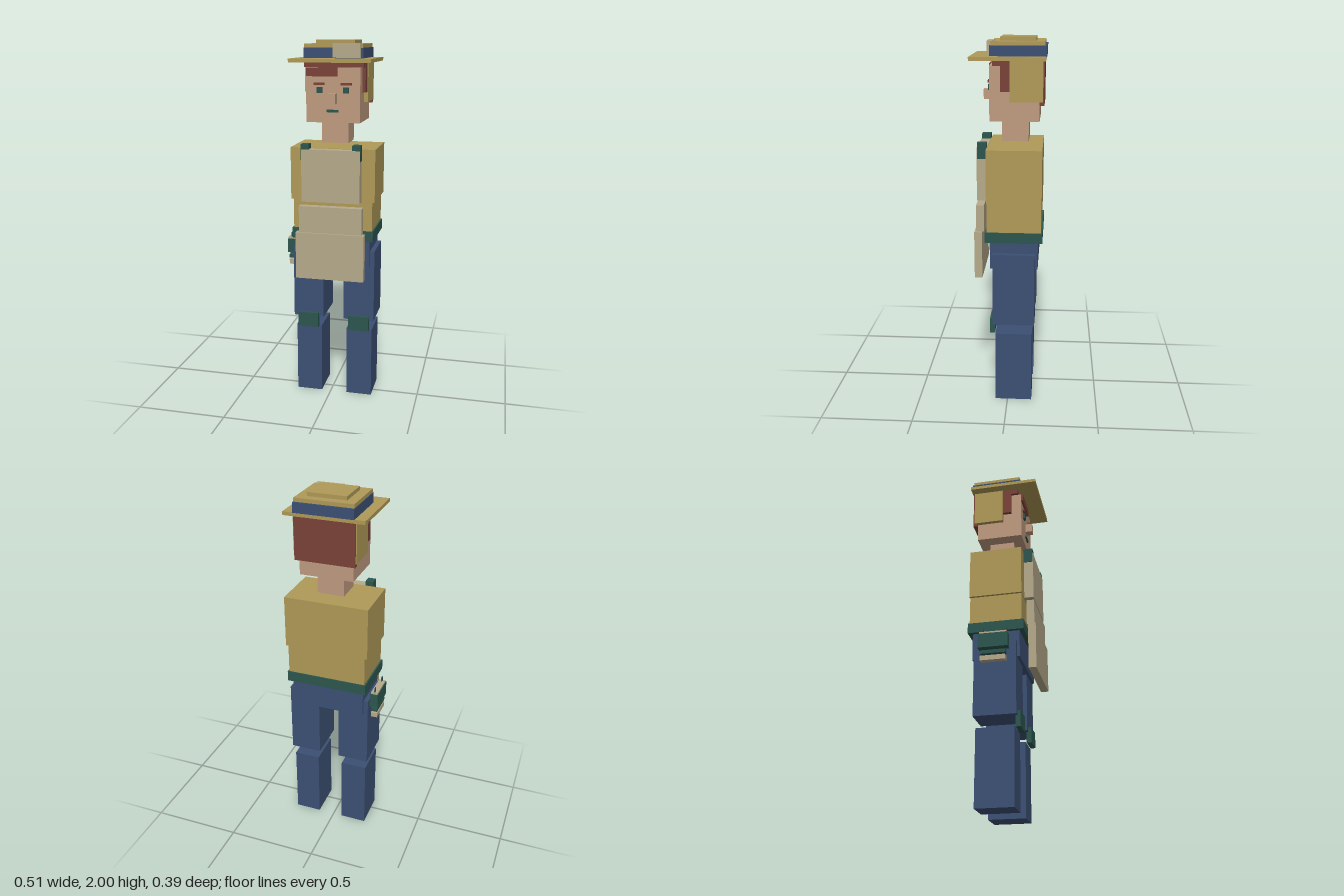
import * as THREE from 'three';

const mat = (name, color) => {
  const m = new THREE.MeshStandardMaterial({ color });
  m.name = name;
  return m;
};

export function createModel() {
  const gold = mat('gold cloth', 0xb09a58);
  const beige = mat('beige canvas', 0xb6aa8b);
  const navy = mat('navy cloth', 0x3c5074);
  const teal = mat('dark teal', 0x2c564e);
  const skin = mat('skin', 0xbf9b80);
  const red = mat('red brown hair', 0x7a4238);

  const model = new THREE.Group();
  model.name = 'figure';
  const MID = 0.02; // the body's own centre line

  // Box given by its extents on each axis
  const box = (parent, name, material, [x0, x1], [y0, y1], [z0, z1]) => {
    const mesh = new THREE.Mesh(new THREE.BoxGeometry(x1 - x0, y1 - y0, z1 - z0), material);
    mesh.position.set((x0 + x1) / 2, (y0 + y1) / 2, (z0 + z1) / 2);
    mesh.name = name;
    parent.add(mesh);
  };
  // Mirrored pair about the centre line; a and b are distances from it
  const pair = (parent, name, material, [a, b], y, z) => {
    box(parent, name + 'Left', material, [MID + a, MID + b], y, z);
    box(parent, name + 'Right', material, [MID - b, MID - a], y, z);
  };
  const group = (name) => {
    const g = new THREE.Group();
    g.name = name;
    model.add(g);
    return g;
  };

  // Legs
  const legs = group('legs');
  pair(legs, 'shin', navy, [0.073, 0.218], [0, 0.405], [-0.135, 0.067]);
  pair(legs, 'thigh', navy, [0.058, 0.23], [0.465, 0.873], [-0.148, 0.08]);
  pair(legs, 'kneePad', teal, [0.087, 0.203], [0.405, 0.49], [0.07, 0.097]);
  box(legs, 'pelvis', navy, [-0.185, 0.225], [0.787, 0.94], [-0.163, 0.095]);

  // Torso
  const torso = group('torso');
  box(torso, 'belt', teal, [-0.205, 0.246], [0.938, 0.995], [-0.187, 0.12]);
  box(torso, 'waist', gold, [-0.197, 0.239], [0.995, 1.155], [-0.179, 0.109]);
  box(torso, 'chest', gold, [-0.211, 0.252], [1.155, 1.44], [-0.181, 0.111]);

  // Apron
  const apron = group('apron');
  box(apron, 'apronSkirt', beige, [-0.17, 0.207], [0.725, 0.985], [0.138, 0.18]);
  box(apron, 'apronWaist', beige, [-0.153, 0.193], [0.985, 1.13], [0.128, 0.17]);
  box(apron, 'apronBib', beige, [-0.138, 0.18], [1.155, 1.438], [0.113, 0.165]);
  pair(apron, 'apronStrap', teal, [0.118, 0.161], [1.38, 1.465], [0.112, 0.162]);

  // Tool pouch on the right hip
  const pouch = group('toolPouch');
  box(pouch, 'pouchBody', teal, [-0.255, -0.211], [0.825, 0.905], [-0.118, 0.043]);
  box(pouch, 'pouchLid', beige, [-0.252, -0.215], [0.905, 0.915], [-0.112, 0.037]);
  box(pouch, 'pouchStrip', teal, [-0.25, -0.217], [0.79, 0.81], [-0.105, 0.03]);
  box(pouch, 'pouchBase', beige, [-0.25, -0.215], [0.753, 0.78], [-0.105, 0.03]);
  for (const z of [-0.099, 0.024])
    box(pouch, 'pouchPin', teal, [-0.237, -0.232], [0.915, 0.94], [z - 0.009, z + 0.009]);

  // Head and face
  const head = group('head');
  box(head, 'neck', skin, [-0.055, 0.092], [1.46, 1.575], [-0.105, 0.037]);
  box(head, 'skull', skin, [-0.125, 0.165], [1.575, 1.86], [-0.163, 0.097]);
  box(head, 'nose', skin, [0, 0.041], [1.675, 1.728], [0.097, 0.137]);
  box(head, 'mouth', teal, [-0.012, 0.051], [1.63, 1.643], [0.097, 0.105]);
  pair(head, 'eye', teal, [0.057, 0.086], [1.73, 1.76], [0.097, 0.108]);
  pair(head, 'eyebrow', red, [0.044, 0.102], [1.77, 1.783], [0.097, 0.108]);

  // Hair and hat side flaps
  const hair = group('hair');
  box(hair, 'hairTop', red, [-0.14, 0.18], [1.86, 1.889], [-0.17, 0.08]);
  box(hair, 'fringe', red, [-0.125, 0.044], [1.815, 1.86], [0.097, 0.108]);
  pair(hair, 'sideHair', red, [0.145, 0.163], [1.73, 1.889], [-0.03, 0.04]);
  box(hair, 'backHair', red, [-0.142, 0.182], [1.66, 1.889], [-0.187, -0.163]);
  pair(hair, 'hatSideFlap', gold, [0.145, 0.167], [1.678, 1.889], [-0.18, -0.01]);

  // Hat
  const hat = group('hat');
  box(hat, 'hatBrim', gold, [-0.194, 0.236], [1.888, 1.907], [-0.193, 0.195]);
  box(hat, 'hatBand', navy, [-0.138, 0.18], [1.907, 1.96], [-0.198, 0.094]);
  box(hat, 'hatCrown', gold, [-0.135, 0.177], [1.96, 1.98], [-0.188, 0.09]);
  box(hat, 'hatTop', gold, [-0.083, 0.125], [1.98, 2], [-0.142, 0.042]);
  box(hat, 'hatPatch', beige, [0.02, 0.167], [1.91, 1.983], [0.077, 0.108]);

  return model;
}
